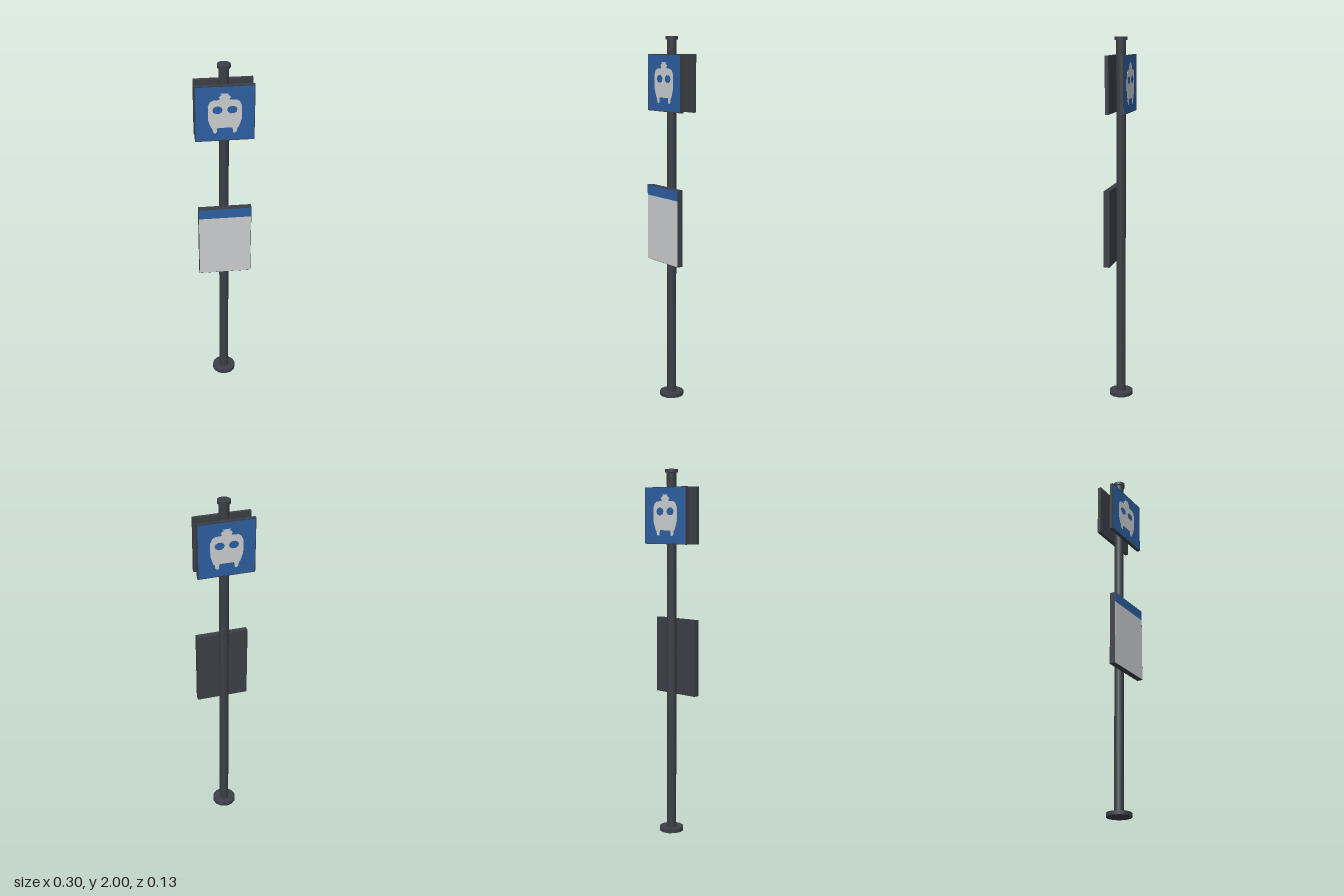
import * as THREE from 'three';

const mat = (name, color) => {
  const m = new THREE.MeshStandardMaterial({ color });
  m.name = name;
  return m;
};

export function createModel() {
  const root = new THREE.Group();
  root.name = 'transitStopPost';
  const steel = mat('darkSteel', 0x3b4047);
  const blue = mat('signBlue', 0x2d5fa2);
  const pale = mat('paleGrey', 0xcbcecf);

  const add = (parent, name, geo, material, x = 0, y = 0, z = 0) => {
    const mesh = new THREE.Mesh(geo, material);
    mesh.name = name;
    mesh.position.set(x, y, z);
    parent.add(mesh);
    return mesh;
  };
  const box = (w, h, d) => new THREE.BoxGeometry(w, h, d);

  // Post with foot flange and end cap
  add(root, 'post', new THREE.CylinderGeometry(0.026, 0.026, 1.985, 16), steel, 0, 0.9925);
  add(root, 'footFlange', new THREE.CylinderGeometry(0.067, 0.067, 0.021, 12), steel, 0, 0.0105);
  add(root, 'endCap', new THREE.CylinderGeometry(0.034, 0.034, 0.018, 16), steel, 0, 1.991);

  // Tram pictogram: mirrored outline of the body with feet, drawn about the sign centre
  const half = [
    [0.018, 0.078], [0.06, 0.075], [0.074, 0.067], [0.085, 0.045], [0.085, -0.03],
    [0.07, -0.074], [0.063, -0.08], [0.06, -0.1], [0.052, -0.107], [0.042, -0.105],
    [0.038, -0.077],
  ];
  const points = [...half, ...half.map(([x, y]) => [-x, y]).reverse()];
  const tram = new THREE.Shape(points.map(([x, y]) => new THREE.Vector2(x, y)));
  for (const s of [-1, 1]) {
    const win = new THREE.Path();
    win.absellipse(s * 0.037, 0.022, 0.026, 0.021, 0, Math.PI * 2, true);
    tram.holes.push(win);
  }
  // Current collector on the roof, with a small opening
  const collector = new THREE.Shape(
    [[-0.032, 0.088], [0.032, 0.088], [0.026, 0.097], [0.014, 0.104], [0.022, 0.111],
      [-0.022, 0.111], [-0.014, 0.104], [-0.026, 0.097]].map(([x, y]) => new THREE.Vector2(x, y)));
  const stem = new THREE.Shape(
    [[-0.026, 0.076], [0.026, 0.076], [0.026, 0.09], [-0.026, 0.09]].map(([x, y]) => new THREE.Vector2(x, y)));
  const plate = { depth: 0.001, bevelEnabled: false, curveSegments: 5 };

  // Two identical sign boards, facing forward and backward
  const makeSign = (name) => {
    const sign = new THREE.Group();
    sign.name = name;
    add(sign, 'signBoard', box(0.302, 0.302, 0.019), steel, 0, 0, 0.0405);
    add(sign, 'signFace', box(0.294, 0.294, 0.001), blue, 0, 0, 0.0505);
    add(sign, 'tramBody', new THREE.ExtrudeGeometry(tram, plate), pale, 0, 0, 0.051);
    add(sign, 'tramCollector', new THREE.ExtrudeGeometry(collector, plate), pale, 0, 0, 0.051);
    add(sign, 'tramRoof', new THREE.ExtrudeGeometry(stem, plate), pale, 0, 0, 0.0509);
    sign.position.y = 1.755;
    root.add(sign);
    return sign;
  };
  makeSign('frontSign');
  makeSign('backSign').rotation.y = Math.PI;

  // Timetable board with blue header
  const board = new THREE.Group();
  board.name = 'timetable';
  root.add(board);
  add(board, 'timetableBoard', box(0.284, 0.418, 0.032), steel, 0, 0.988, 0.046);
  add(board, 'timetableSheet', box(0.28, 0.359, 0.001), pale, 0, 0.9605, 0.0625);
  add(board, 'timetableHeader', box(0.28, 0.055, 0.001), blue, 0, 1.1675, 0.0625);

  return root;
}
